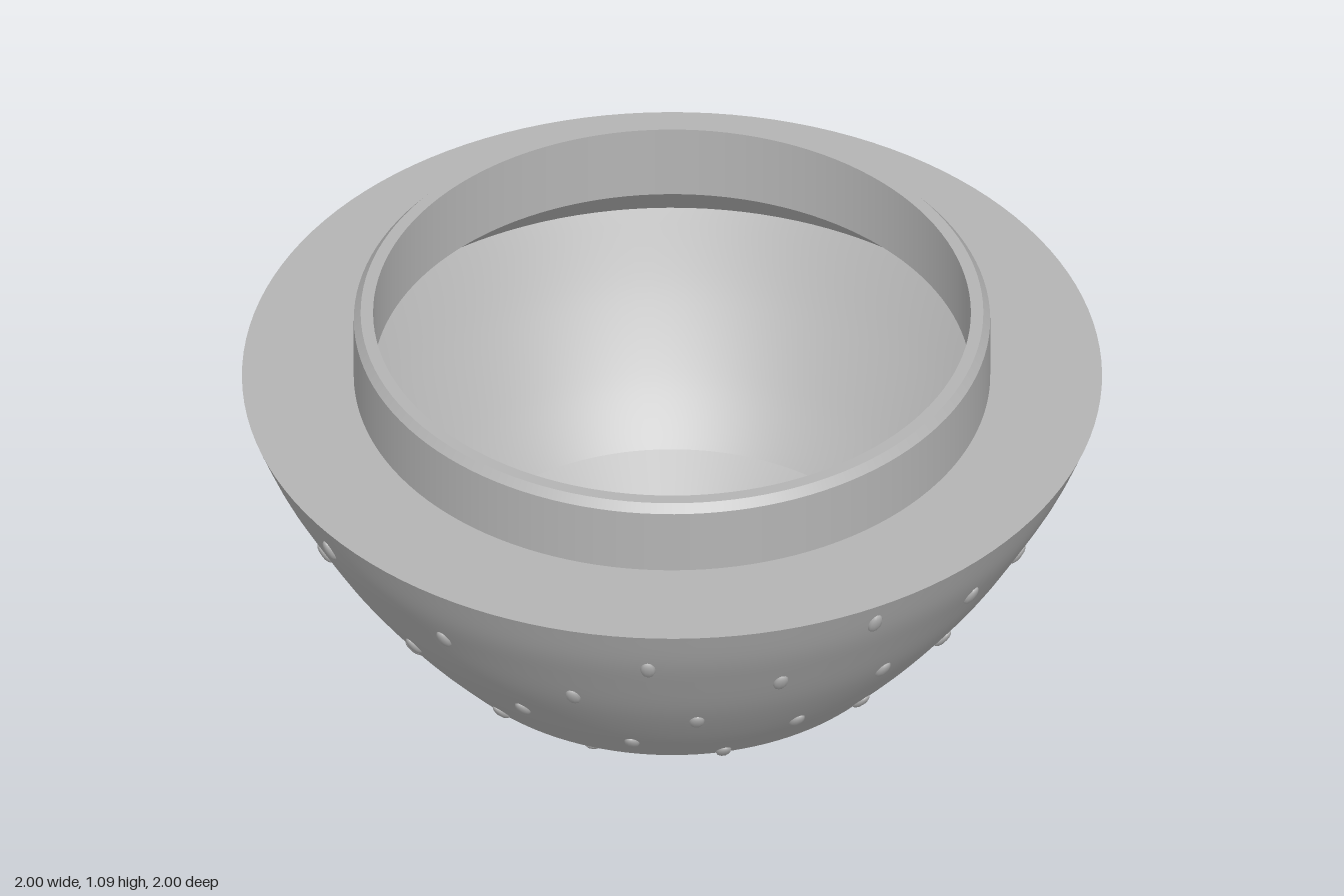
import * as THREE from 'three';

const SEGMENTS = 128;
const V = (r, y) => new THREE.Vector2(r, y);
const curve = (...pts) => new THREE.SplineCurve(pts.map(([r, y]) => V(r, y))).getPoints(24);

// linear lookup in a list of [input, output] pairs sorted by input
function lookup(table, t) {
  let i = 1;
  while (i < table.length - 1 && table[i][0] < t) i++;
  const [a, b] = table[i - 1], [c, d] = table[i];
  return b + (d - b) * (t - a) / (c - a);
}

export function createModel() {
  const model = new THREE.Group();
  const grey = new THREE.MeshStandardMaterial({ color: 0xb4b4b4 });
  grey.name = 'plain grey';

  const ring = (name, points) => {
    const mesh = new THREE.Mesh(new THREE.LatheGeometry(points, SEGMENTS), grey);
    mesh.name = name;
    model.add(mesh);
  };

  // Outer skin, from the foot up to the shoulder
  const outerWall = curve([0.57, 0.23], [0.69, 0.37], [0.81, 0.535], [0.9, 0.69], [0.955, 0.795], [1, 0.905]);
  ring('foot', [V(0, 0), V(0.2, 0)]);
  ring('footEdge', curve([0.2, 0], [0.218, 0.004], [0.235, 0.015]));
  ring('outerCone', [V(0.235, 0.015), V(0.57, 0.23)]);
  ring('outerBowl', outerWall);
  ring('shoulder', [V(1, 0.905), V(0.74, 0.905)]);

  // Neck with a chamfered rim
  ring('neckOutside', [V(0.74, 0.905), V(0.74, 1.07)]);
  ring('rimChamfer', [V(0.74, 1.07), V(0.724, 1.09)]);
  ring('rim', [V(0.724, 1.09), V(0.695, 1.09)]);
  ring('neckInside', [V(0.695, 1.09), V(0.695, 0.9)]);

  // Hollow inside: sloping ceiling, wall, cone and floor
  ring('innerCeiling', [V(0.695, 0.9), V(0.872, 0.723)]);
  ring('innerBowl', curve([0.872, 0.723], [0.77, 0.55], [0.655, 0.385], [0.55, 0.262]));
  ring('innerCone', [V(0.55, 0.262), V(0.22, 0.045)]);
  ring('floor', [V(0.22, 0.045), V(0, 0.04)]);

  // Seeds laid out on a golden-angle spiral, following the slope of the skin
  const skin = [[0.015, 0.235], ...outerWall.map(p => [p.y, p.x])];
  const heights = [[0, 0.835], [8, 0.725], [21, 0.55], [34, 0.39], [42, 0.296], [47, 0.242], [52, 0.2], [56, 0.17]];
  const seedShape = new THREE.SphereGeometry(1, 10, 8).scale(0.018, 0.033, 0.011);
  const seeds = new THREE.Group();
  seeds.name = 'seeds';
  for (let i = 0; i <= 56; i++) {
    const y = lookup(heights, i);
    const slope = (lookup(skin, y + 0.01) - lookup(skin, y - 0.01)) / 0.02;
    const seed = new THREE.Mesh(seedShape, grey);
    seed.name = 'seed';
    seed.position.set(0, y, lookup(skin, y));
    seed.rotation.x = Math.atan(slope);
    const turn = new THREE.Group();
    turn.name = 'seedTurn';
    turn.rotation.y = THREE.MathUtils.degToRad(3.3 + i * 137.508);
    turn.add(seed);
    seeds.add(turn);
  }
  model.add(seeds);
  return model;
}
